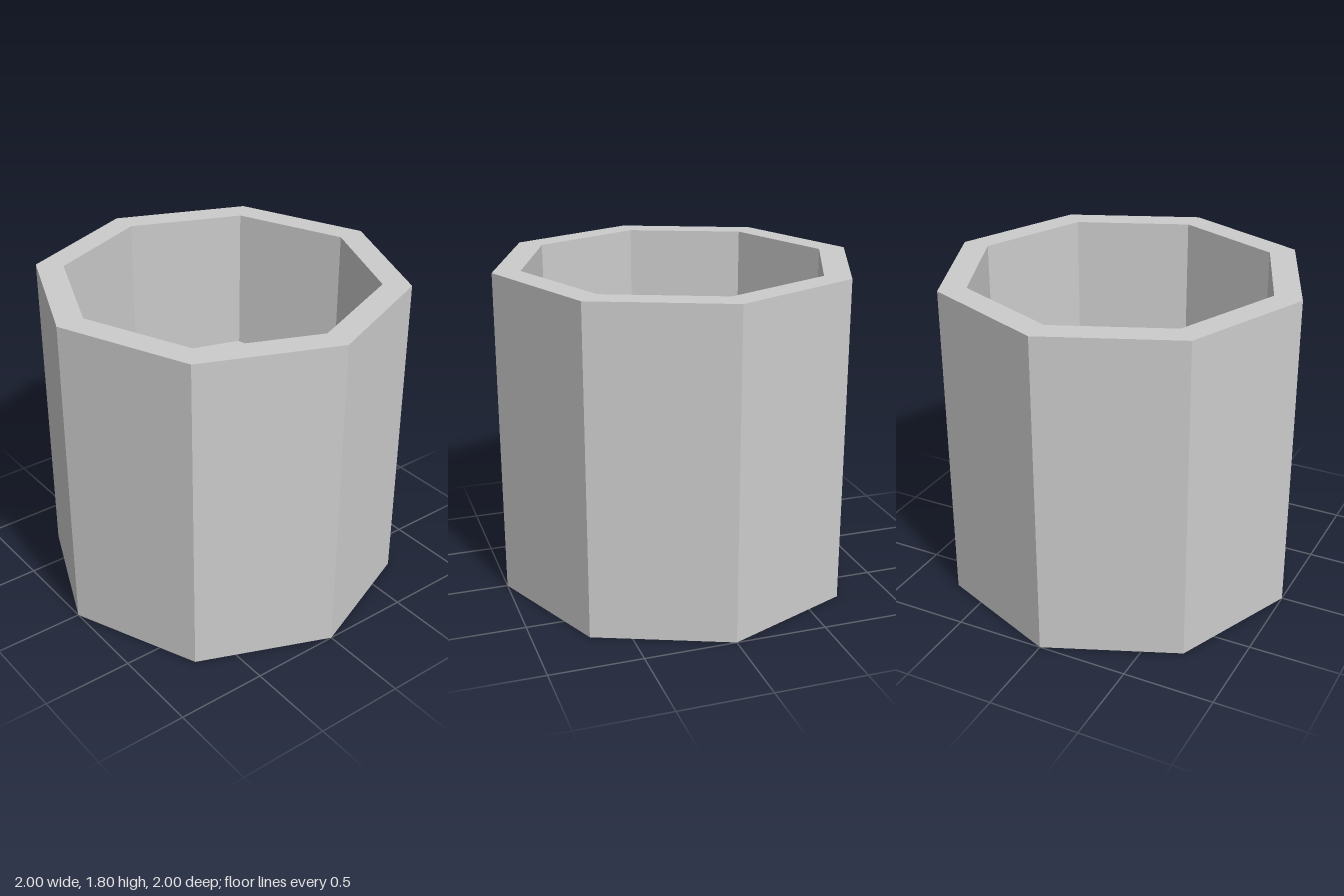
import * as THREE from 'three';

const material = new THREE.MeshStandardMaterial({ color: 0xcccccc, flatShading: true });

export function createModel() {
  const model = new THREE.Group();

  const add = (name, geometry, parent = model) => {
    const mesh = new THREE.Mesh(geometry, material);
    mesh.name = name;
    parent.add(mesh);
    return mesh;
  };

  // Horizontal slab: outline and optional hole as [x, z] corners
  const slab = (outline, y, height, hole) => {
    const points = (list) => list.map(([x, z]) => new THREE.Vector2(x, -z));
    const shape = new THREE.Shape(points(outline));
    if (hole) shape.holes.push(new THREE.Path(points(hole)));
    const geometry = new THREE.ExtrudeGeometry(shape, { depth: height, bevelEnabled: false });
    return geometry.rotateX(-Math.PI / 2).translate(0, y, 0);
  };

  // Corners run counterclockwise seen from above, so the hole's walls face inward
  const octagon = (r) => Array.from({ length: 8 }, (_, i) => {
    const a = (i * Math.PI) / 4;
    return [r * Math.cos(a), -r * Math.sin(a)];
  });

  // Eight-sided open shell
  add('octagonalShell', slab(octagon(1), 0, 1.8, octagon(0.848)));

  const rubble = new THREE.Group();
  rubble.name = 'rubble';
  model.add(rubble);

  // Broken plates, overlapping in a thin layer at mid height
  const plates = [
    [1.0, [[-0.35, -0.67], [-0.17, -0.76], [0, -0.81], [0.14, -0.78], [0.34, -0.68], [0.18, -0.53], [-0.18, -0.53]]],
    [0.95, [[-0.69, -0.3], [-0.6, -0.59], [-0.33, -0.66], [0, -0.6], [0.01, -0.1], [-0.1, -0.02], [-0.4, -0.04], [-0.6, -0.27]]],
    [0.96, [[-0.8, -0.1], [-0.7, -0.17], [-0.54, -0.17], [-0.45, -0.02], [-0.52, 0.17], [-0.76, 0.22], [-0.8, 0.02]]],
    [0.91, [[-0.71, 0.27], [-0.52, 0.17], [-0.52, -0.1], [0.02, -0.06], [-0.07, 0.33], [-0.11, 0.42], [-0.22, 0.69], [-0.6, 0.54], [-0.64, 0.42]]],
    [0.95, [[0, -0.54], [0.2, -0.68], [0.5, -0.63], [0.66, -0.42], [0.65, -0.2], [0.72, 0], [0.02, 0.03]]],
    [0.95, [[0.02, 0], [0.83, -0.01], [0.58, 0.05], [0.57, 0.36], [0.1, 0.7], [0.02, 0.8]]],
  ];
  plates.forEach(([y, outline]) => add('brokenPlate', slab(outline, y, 0.03), rubble));

  // Planks: start x z, end x z, width, height of centre
  const planks = [
    [-0.58, 0.27, 0.59, -0.19, 0.09, 1.0],
    [-0.52, 0.36, 0.65, -0.09, 0.09, 1.0],
    [-0.35, 0.15, -0.2, -0.03, 0.09, 0.99],
    [0.2, -0.61, 0.54, -0.38, 0.05, 1.03],
    [0.24, -0.64, 0.58, -0.41, 0.06, 1.0],
    [0.04, -0.28, 0.09, -0.43, 0.07, 0.99],
    [0.06, 0.68, 0.14, 0.19, 0.08, 1.01],
    [0.03, 0.68, 0.57, 0.37, 0.07, 1.0],
    [0.06, 0.77, 0.6, 0.48, 0.08, 0.98],
    [0.56, 0.1, 0.72, 0.1, 0.1, 0.99],
    [0.57, 0.27, 0.74, 0.27, 0.08, 0.97],
    [0.56, 0.33, 0.65, 0.33, 0.06, 0.96],
    [0.66, -0.37, 0.77, 0, 0.06, 0.97],
    [-0.73, -0.21, -0.64, -0.21, 0.09, 0.93],
    [-0.2, 0.67, -0.12, 0.55, 0.06, 0.95],
  ];
  planks.forEach(([x1, z1, x2, z2, width, y]) => {
    const plank = add('plank', new THREE.BoxGeometry(Math.hypot(x2 - x1, z2 - z1), 0.03, width), rubble);
    plank.position.set((x1 + x2) / 2, y, (z1 + z2) / 2);
    plank.rotation.y = -Math.atan2(z2 - z1, x2 - x1);
  });

  // Short blocks in a row
  [0.21, 0.32, 0.5, 0.65].forEach((z) => {
    add('block', new THREE.BoxGeometry(0.06, 0.04, 0.08), rubble).position.set(-0.01, 0.93, z);
  });

  // Round rods: start x z, end x z, radius
  const rods = [
    [-0.16, 0.33, -0.16, 0.72, 0.04],
    [0.52, -0.5, 0.62, -0.58, 0.03],
    [0.66, 0.09, 0.81, 0.12, 0.025],
    [-0.84, 0.03, -0.74, 0.03, 0.03],
    [-0.03, -0.75, -0.03, -0.83, 0.025],
  ];
  rods.forEach(([x1, z1, x2, z2, r]) => {
    const path = new THREE.Vector3(x2 - x1, 0, z2 - z1);
    const rod = add('rod', new THREE.CylinderGeometry(r, r, path.length(), 12), rubble);
    rod.position.set((x1 + x2) / 2, 0.9, (z1 + z2) / 2);
    rod.quaternion.setFromUnitVectors(new THREE.Vector3(0, 1, 0), path.normalize());
  });

  // Tapered knob near the centre
  add('centreKnob', new THREE.CylinderGeometry(0.035, 0.06, 0.06, 12), rubble).position.set(0, 0.99, -0.04);

  return model;
}
